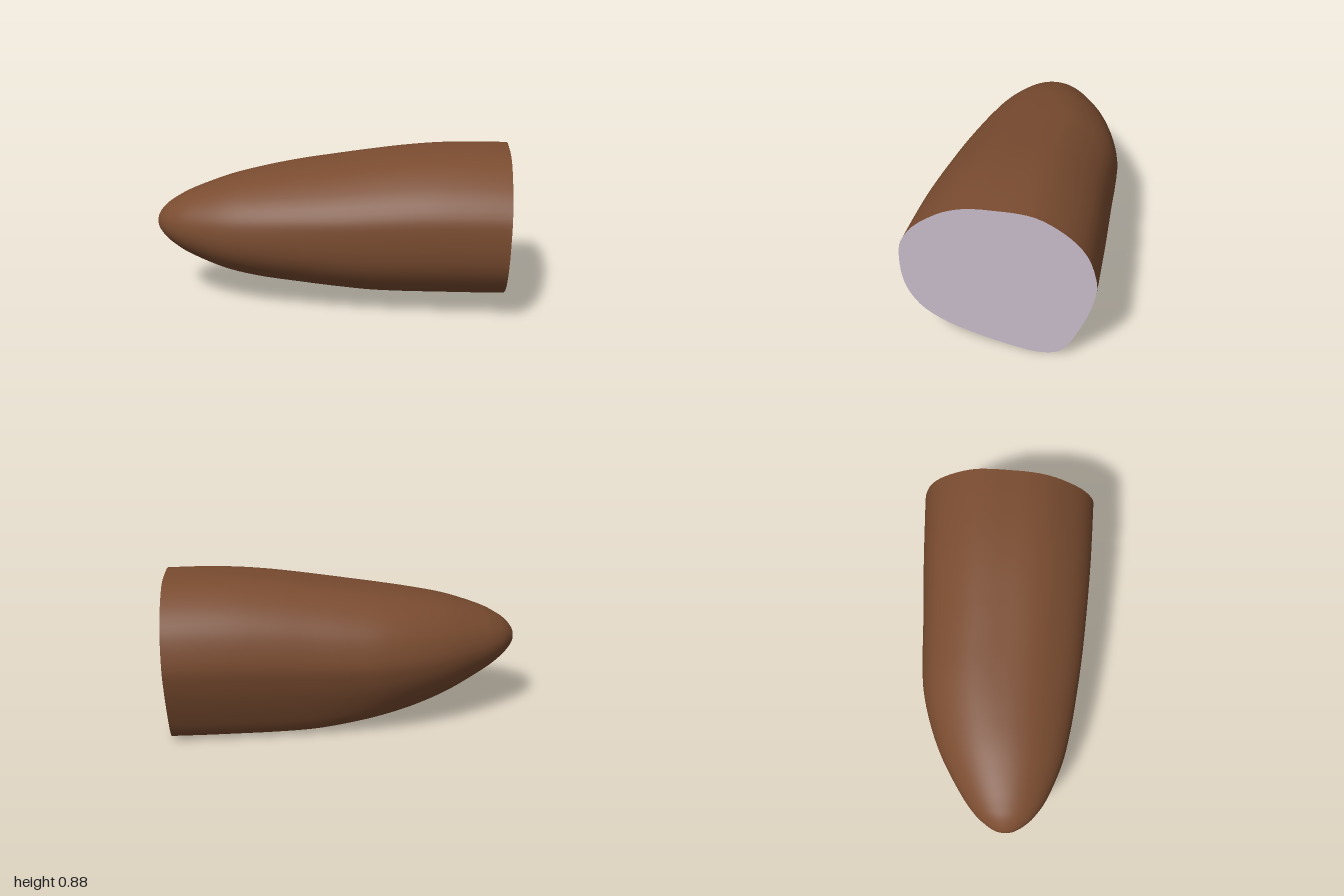
import * as THREE from 'three';

const SIDES = 80, RINGS = 72;

// Outline of the cut end as (z, y)
const section = [
  [0, .88], [-.1, .882], [-.2, .87], [-.3, .825], [-.4, .75], [-.47, .65], [-.507, .5], [-.49, .39],
  [-.46, .29], [-.41, .17], [-.36, .075], [-.3, .02], [-.2, .003], [-.1, .015], [0, .035], [.1, .06],
  [.2, .09], [.3, .13], [.4, .195], [.47, .29], [.503, .4], [.508, .53], [.49, .62], [.42, .72],
  [.3, .81], [.2, .855], [.1, .875],
];

// Lengthwise profile: x, top y, bottom y, back z, front z
const profile = [
  [-1, .44, .44, .04, .04], [-.987, .484, .395, -.018, .092], [-.95, .53, .35, -.075, .15],
  [-.9, .567, .31, -.13, .2], [-.8, .62, .25, -.205, .265], [-.6, .69, .165, -.32, .345],
  [-.4, .735, .11, -.4, .39], [-.2, .77, .07, -.45, .42], [0, .8, .035, -.467, .445],
  [.2, .83, .01, -.475, .463], [.4, .857, .003, -.485, .478], [.6, .875, .003, -.495, .49],
  [.8, .881, .004, -.502, .498], [.981, .879, .007, -.508, .504],
];

const curve = (points, closed) => new THREE.CatmullRomCurve3(
  points.map(p => new THREE.Vector3(...p)), closed, 'catmullrom', 0.5);

function buildRings() {
  const outline = curve(section.map(([z, y]) => [z / .508, (y - .4425) / .4395, 0]), true);
  const heights = curve(profile.map(p => [p[0], p[1], p[2]]), false);
  const widths = curve(profile.map(p => [p[0], p[3], p[4]]), false);
  const base = Array.from({ length: SIDES }, (_, j) => outline.getPoint(j / SIDES));
  const rings = [];
  for (let i = 0; i <= RINGS; i++) {
    const t = i / RINGS, h = heights.getPoint(t), w = widths.getPoint(t);
    // Section changes from an ellipse at the nose to the cut outline
    const blend = THREE.MathUtils.smoothstep(h.x, -1, .2);
    const pts = base.map(p => p.clone().normalize().lerp(p, blend));
    const box = new THREE.Box3().setFromPoints(pts);
    const skew = THREE.MathUtils.smoothstep(h.x, .3, .98);
    rings.push(pts.map(p => {
      const y = THREE.MathUtils.mapLinear(p.y, box.min.y, box.max.y, h.z, h.y);
      const z = THREE.MathUtils.mapLinear(p.x, box.min.x, box.max.x, w.y, w.z);
      return new THREE.Vector3(h.x + skew * (.02 * (y - .45) - .028 * z), y, z);
    }));
  }
  return rings;
}

function meshFrom(name, points, index, color) {
  const geometry = new THREE.BufferGeometry().setFromPoints(points);
  geometry.setIndex(index);
  geometry.computeVertexNormals();
  const mesh = new THREE.Mesh(geometry, new THREE.MeshStandardMaterial({ color }));
  mesh.name = name;
  return mesh;
}

export function createModel() {
  const group = new THREE.Group();
  group.name = 'cutLoaf';
  const rings = buildRings();

  // Brown skin: nose point, then rings joined to the cut
  const points = [rings[0][0], ...rings.slice(1).flat()];
  const at = (i, j) => (i === 0 ? 0 : 1 + (i - 1) * SIDES + j % SIDES);
  const index = [];
  for (let i = 0; i < RINGS; i++) {
    for (let j = 0; j < SIDES; j++) {
      if (i > 0) index.push(at(i, j), at(i + 1, j), at(i, j + 1));
      index.push(at(i, j + 1), at(i + 1, j), at(i + 1, j + 1));
    }
  }
  group.add(meshFrom('skin', points, index, 0x7a4c30));

  // Pale flat face closing the cut end
  const rim = rings[RINGS];
  const centre = rim.reduce((sum, p) => sum.add(p), new THREE.Vector3()).divideScalar(SIDES);
  const fan = [];
  for (let j = 0; j < SIDES; j++) fan.push(0, 1 + (j + 1) % SIDES, 1 + j);
  group.add(meshFrom('cutFace', [centre, ...rim], fan, 0xc8bccb));
  return group;
}
